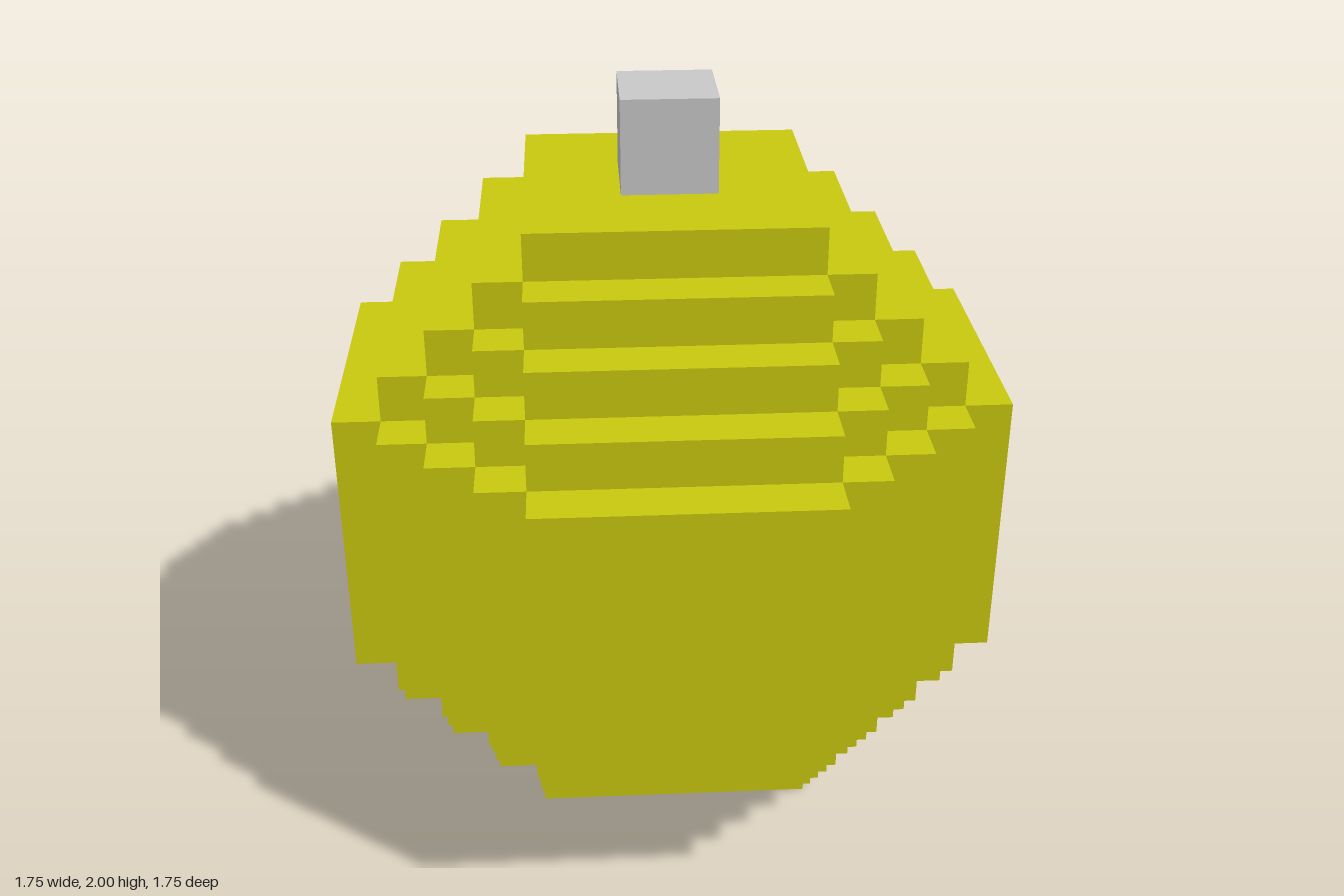
import * as THREE from 'three';

const U = 0.125;      // one block
const CORE = 3;       // half width of the flat faces, in blocks
const RADIUS = 7;     // half width of the whole body, in blocks
const CENTRE_Y = RADIUS * U;

// Stepped outline with arms of half length `reach`, symmetrical in all quarters
function steppedOutline(reach) {
  const quarter = [];
  for (let a = reach, c = CORE; a >= CORE; a--, c++) {
    if (c > CORE) quarter.push([a, c - 1]);
    quarter.push([a, c]);
  }
  const points = [];
  for (let q = 0; q < 4; q++) {
    for (const [a, c] of quarter) {
      const [x, y] = [[a, c], [-c, a], [-a, -c], [c, -a]][q];
      points.push(new THREE.Vector2(x * U, y * U));
    }
  }
  return new THREE.Shape(points);
}

// One horizontal slab of the body, standing on y = bottom
function slab(reach, bottom, height, material, name) {
  const geometry = new THREE.ExtrudeGeometry(steppedOutline(reach), { depth: height, bevelEnabled: false });
  geometry.rotateX(-Math.PI / 2);
  const mesh = new THREE.Mesh(geometry, material);
  mesh.position.y = bottom;
  mesh.name = name;
  return mesh;
}

export function createModel() {
  const yellow = new THREE.MeshStandardMaterial({ color: 0xc8c80f });
  yellow.name = 'yellow';
  const grey = new THREE.MeshStandardMaterial({ color: 0xc8c8c8 });
  grey.name = 'light grey';

  const model = new THREE.Group();
  model.name = 'ornament';

  // Ball: a tall middle band, then thin slabs shrinking upwards and downwards
  const ball = new THREE.Group();
  ball.name = 'ball';
  ball.add(slab(RADIUS, CENTRE_Y - CORE * U, 2 * CORE * U, yellow, 'middleBand'));
  for (let level = CORE + 1; level <= RADIUS; level++) {
    const reach = RADIUS + CORE - level;
    ball.add(slab(reach, CENTRE_Y + (level - 1) * U, U, yellow, 'upperSlab' + (level - CORE)));
    ball.add(slab(reach, CENTRE_Y - level * U, U, yellow, 'lowerSlab' + (level - CORE)));
  }
  model.add(ball);

  // Cap on top
  const cap = new THREE.Mesh(new THREE.BoxGeometry(2 * U, 2 * U, 2 * U), grey);
  cap.position.y = CENTRE_Y + (RADIUS + 1) * U;
  cap.name = 'cap';
  model.add(cap);

  return model;
}
